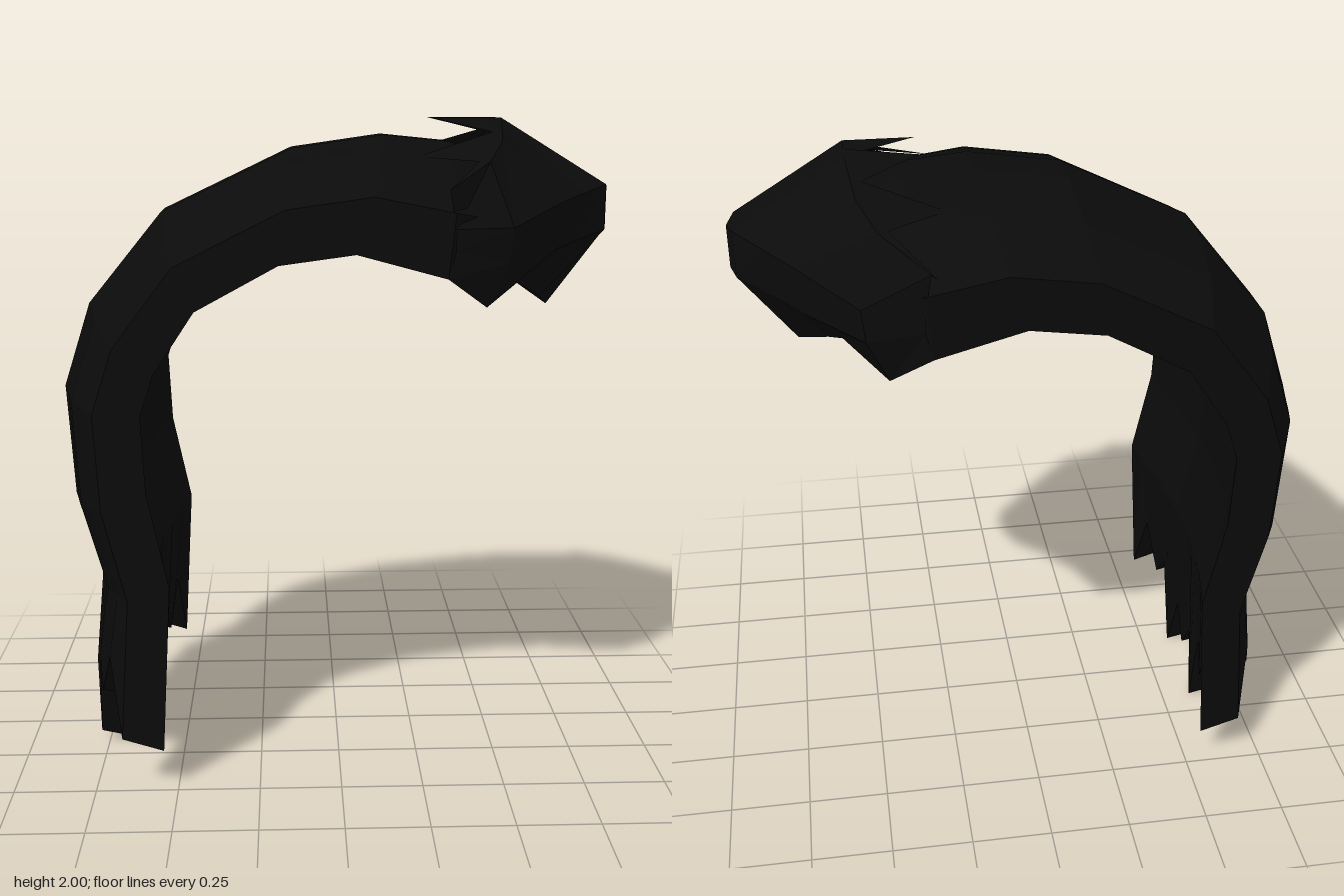
import * as THREE from 'three';

const hairMaterial = new THREE.MeshStandardMaterial({ color: 0x0b0b0b, side: THREE.DoubleSide, flatShading: true });

// Collects quads as loose triangles so every facet stays flat
function quad(out, a, b, c, d) {
  for (const p of [a, b, c, a, c, d]) out.push(...p);
}

function makeMesh(name, positions) {
  const geometry = new THREE.BufferGeometry();
  geometry.setAttribute('position', new THREE.Float32BufferAttribute(positions, 3));
  geometry.computeVertexNormals();
  const mesh = new THREE.Mesh(geometry, hairMaterial);
  mesh.name = name;
  return mesh;
}

// Mirrors a half row (centre first) across z = 0
const mirrorRow = (half) => [...half.slice(1).reverse().map(([x, y, z]) => [x, y, -z]), ...half];

// Strand columns: distance from centre, sideways fall-off, height of the ragged tip
const columns = [
  [0, 0, 0.11], [0.08, 0, 0.22], [0.16, 0.13, 0], [0.24, 0.25, 0.30],
  [0.31, 0.37, 0.21], [0.41, 0.68, 0.36], [0.5, 1, 0.13],
];

// Stations along the sweep: centre outer x, y; side inner x, y; width factor
const stations = [
  [-0.79, 0, -0.54, 0, 1],
  [-0.76, 0.57, -0.51, 0.65, 1],
  [-0.835, 0.83, -0.57, 0.94, 1],
  [-0.855, 1.18, -0.58, 1.17, 1],
  [-0.77, 1.44, -0.54, 1.29, 1],
  [-0.54, 1.72, -0.42, 1.47, 1],
  [-0.14, 1.91, -0.18, 1.60, 1],
  [0.14, 1.95, 0.04, 1.63, 1],
  [0.34, 1.93, 0.30, 1.56, 1],
  [0.55, 1.86, 0.44, 1.56, 0.8],
];

// One row of points on the outer or inner face of the sheet
function sheetRow(index, inner) {
  const [ox, oy, ix, iy, width] = stations[index];
  return mirrorRow(columns.map(([z, t, tip]) => {
    const k = inner ? 0.74 + 0.26 * t : 0.5 * t;
    const y = index === 0 ? tip + (inner ? 0 : 0.04) : oy + (iy - oy) * k;
    return [ox + (ix - ox) * k, y, z * width];
  }));
}

// Thick sheet sweeping from the ragged back tips up over the crown
function createSweep() {
  const rings = stations.map((_, i) => [...sheetRow(i, false), ...sheetRow(i, true).reverse()]);
  const out = [], n = rings[0].length;
  for (let i = 0; i < rings.length - 1; i++) {
    for (let j = 0; j < n; j++) {
      const k = (j + 1) % n;
      quad(out, rings[i][j], rings[i][k], rings[i + 1][k], rings[i + 1][j]);
    }
  }
  // Closed ends
  const first = rings[0], last = rings[rings.length - 1];
  for (let j = 0; j < n / 2 - 1; j++) {
    quad(out, first[j], first[n - 1 - j], first[n - 2 - j], first[j + 1]);
    quad(out, last[j], last[j + 1], last[n - 2 - j], last[n - 1 - j]);
  }
  return makeMesh('backHair', out);
}

// Pointed fringe with jagged locks lying over the crown
function createFringe() {
  const lockTips = [[0.45, 1.99, 0], [0.29, 2, 0.08], [0.46, 1.96, 0.17], [0.23, 1.89, 0.25], [0.4, 1.88, 0.35], [0.28, 1.79, 0.5]];
  const brow = [[0.5, 2, 0], [0.5, 2, 0.08], [0.49, 1.965, 0.17], [0.48, 1.935, 0.25], [0.43, 1.88, 0.36], [0.3, 1.81, 0.5]];
  const ridge = [[0.85, 1.79, 0], [0.83, 1.8, 0.08], [0.745, 1.78, 0.18], [0.66, 1.76, 0.28], [0.49, 1.7, 0.455], [0.32, 1.7, 0.5]];
  const nose = [[0.85, 1.66, 0], [0.83, 1.66, 0.08], [0.73, 1.64, 0.18], [0.64, 1.62, 0.28], [0.48, 1.6, 0.45], [0.32, 1.64, 0.5]];
  const hem = [[0.67, 1.42, 0], [0.635, 1.455, 0.08], [0.58, 1.49, 0.16], [0.54, 1.52, 0.24], [0.42, 1.47, 0.43], [0.3, 1.56, 0.5]];
  const lining = hem.map(([x, y, z]) => [x - 0.1, y + 0.07, z * 0.85]);
  const roof = hem.map(([, , z]) => [0.44, 1.64 - 0.16 * z, z * 0.8]);
  const rows = [lockTips, brow, ridge, nose, hem, lining, roof].map(mirrorRow);
  const out = [];
  for (let i = 0; i < rows.length - 1; i++) {
    for (let j = 0; j < rows[i].length - 1; j++) {
      quad(out, rows[i][j], rows[i][j + 1], rows[i + 1][j + 1], rows[i + 1][j]);
    }
  }
  return makeMesh('fringe', out);
}

export function createModel() {
  const model = new THREE.Group();
  model.name = 'hair';
  model.add(createSweep(), createFringe());
  return model;
}
